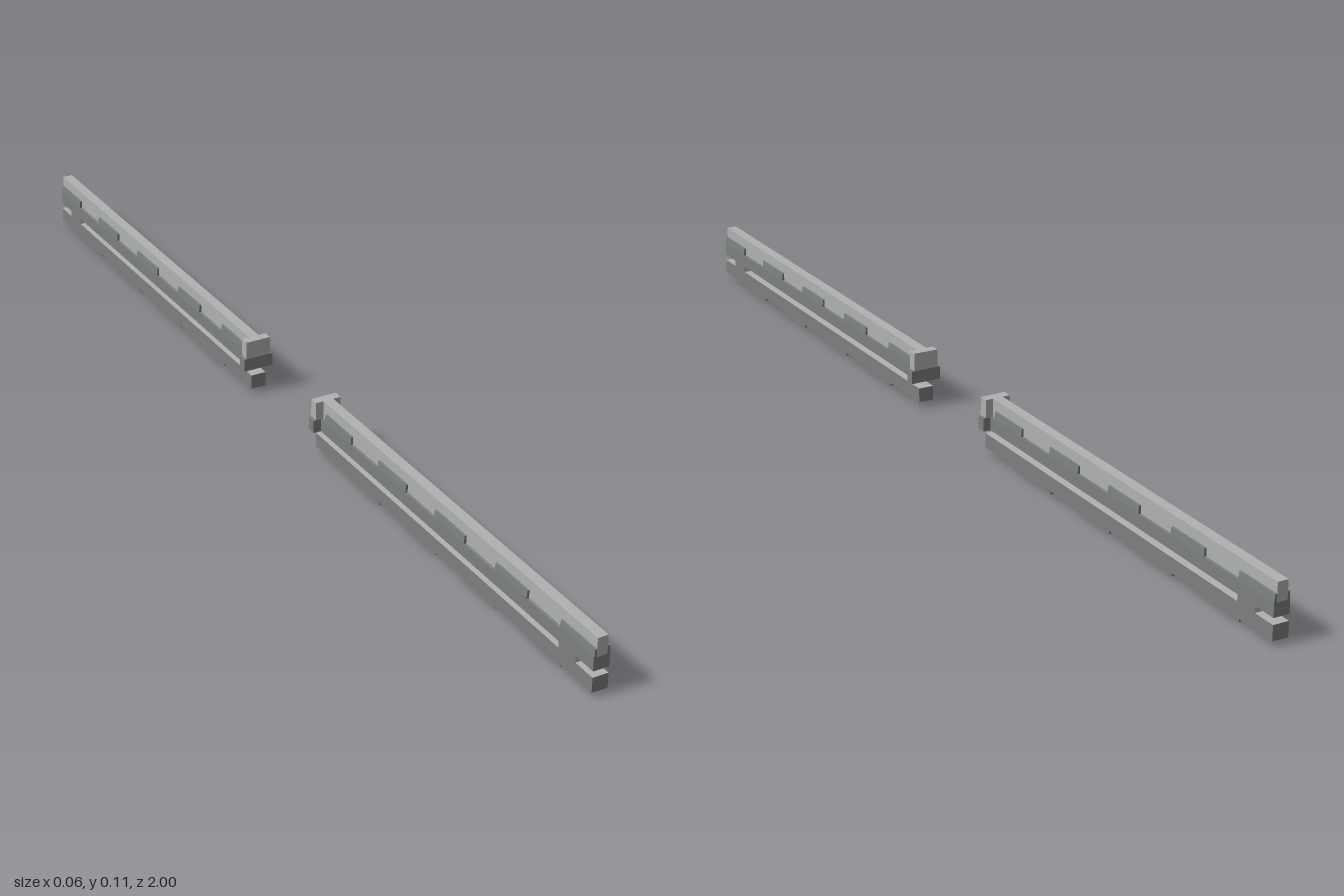
import * as THREE from 'three';

const light = new THREE.MeshStandardMaterial({ color: 0xb0b2b1, flatShading: true });
const dark = new THREE.MeshStandardMaterial({ color: 0x7c807f, flatShading: true });

// Box from its half width and its y and z ranges
function box(name, material, halfWidth, y0, y1, z0, z1) {
  const mesh = new THREE.Mesh(new THREE.BoxGeometry(halfWidth * 2, y1 - y0, z1 - z0), material);
  mesh.position.set(0, (y0 + y1) / 2, (z0 + z1) / 2);
  mesh.name = name;
  return mesh;
}

// Dark plate that leans against one side of the light core
function sidePlate(side, z0, z1) {
  const profile = new THREE.Shape([
    [0.01, 0.075], [0.015, 0.075], [0.0135, 0.09], [0.01, 0.09],
  ].map(([x, y]) => new THREE.Vector2(x * side, y)));
  const geometry = new THREE.ExtrudeGeometry(profile, { depth: z1 - z0, bevelEnabled: false });
  const mesh = new THREE.Mesh(geometry, dark);
  mesh.position.z = z0;
  mesh.name = 'sidePlate';
  return mesh;
}

function createRail(name) {
  const rail = new THREE.Group();
  rail.name = name;
  const inner = 0.125, step = 0.09375;

  // Upper rail: dark body with a narrower light core on top
  rail.add(box('upperRail', dark, 0.015, 0.05, 0.075, inner, 1));
  rail.add(box('upperCore', light, 0.01, 0.075, 0.11, inner, 1));

  // Lower rail and joining post; the faces inside the slot are light
  rail.add(box('lowerRail', [dark, dark, light, dark, dark, dark], 0.015, 0.01, 0.038, inner, 1));
  rail.add(box('joiningPost', [dark, dark, dark, dark, light, light], 0.015, 0.038, 0.05, 0.906, 0.953));

  // Side plates along the core alternate with teeth under the lower rail
  for (let i = 0; i < 9; i++) {
    const z1 = 1 - i * step;
    const z0 = z1 - step;
    if (i % 2) rail.add(box('bottomTooth', dark, 0.01, 0, 0.01, z0, z1));
    else rail.add(sidePlate(1, z0, z1), sidePlate(-1, z0, z1));
  }

  // Stepped block at the inner end
  rail.add(box('endBlockBase', dark, 0.03, 0.05, 0.075, inner, 0.143));
  rail.add(box('endBlockTop', light, 0.025, 0.075, 0.11, inner, 0.143));
  return rail;
}

export function createModel() {
  const model = new THREE.Group();
  model.name = 'railPair';
  const back = createRail('backRail');
  back.rotation.y = Math.PI;
  model.add(createRail('frontRail'), back);
  return model;
}
